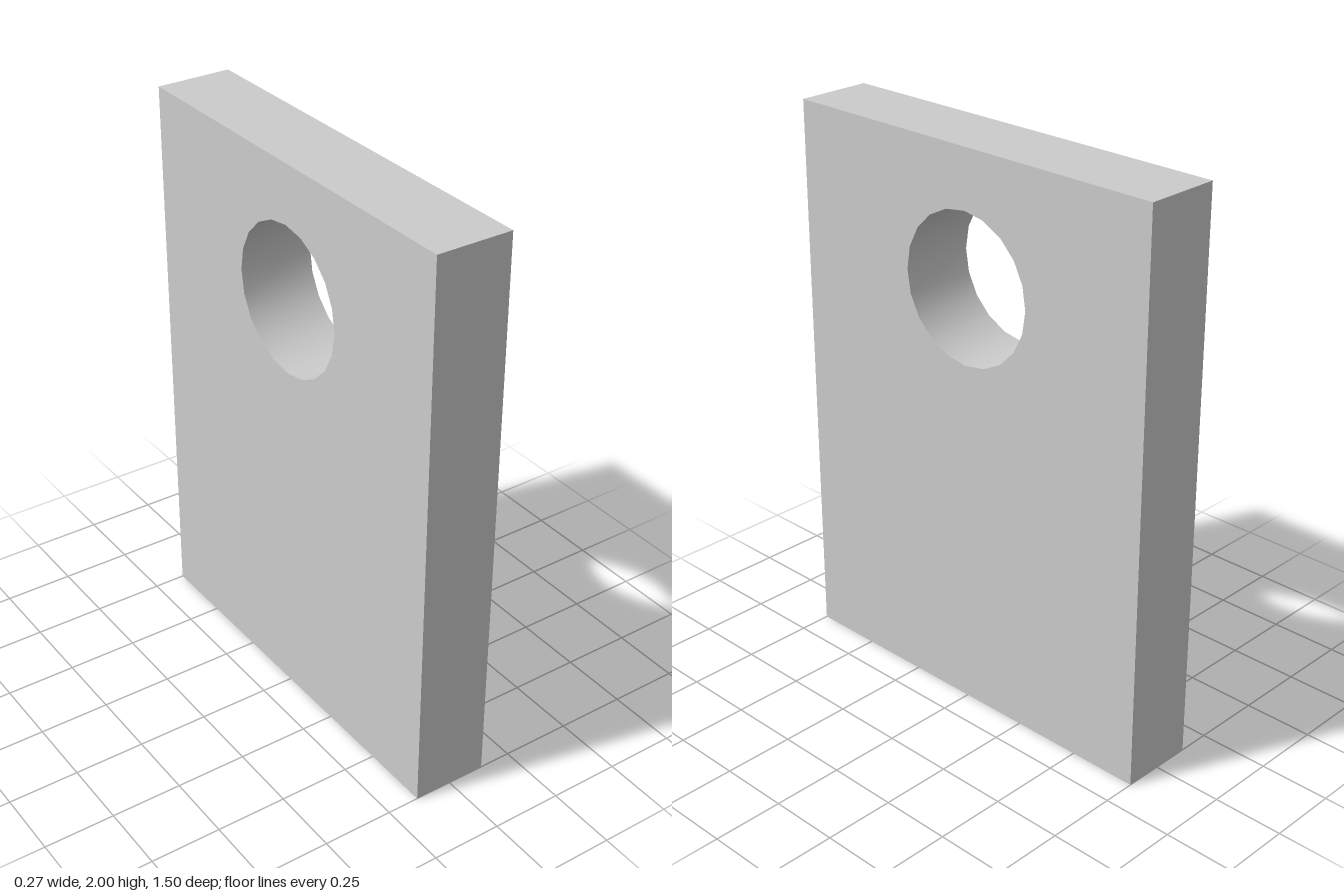
import * as THREE from 'three';
import { toCreasedNormals } from 'three/addons/utils/BufferGeometryUtils.js';

const WIDTH = 1.5, HEIGHT = 2, THICKNESS = 0.27;
const HOLE_Y = 1.53, HOLE_RADIUS = 0.263, HOLE_SIDES = 20;

export function createModel() {
  const group = new THREE.Group();
  group.name = 'plateWithHole';

  // Rectangular outline, standing on the ground
  const outline = new THREE.Shape([
    new THREE.Vector2(-WIDTH / 2, 0),
    new THREE.Vector2(WIDTH / 2, 0),
    new THREE.Vector2(WIDTH / 2, HEIGHT),
    new THREE.Vector2(-WIDTH / 2, HEIGHT),
  ]);

  // Round through-hole near the top
  const hole = new THREE.Path();
  hole.absarc(0, HOLE_Y, HOLE_RADIUS, 0, Math.PI * 2, true);
  outline.holes.push(hole);

  // Extrude, centre the thickness, then turn the broad faces towards x
  const geometry = new THREE.ExtrudeGeometry(outline, {
    depth: THICKNESS,
    bevelEnabled: false,
    curveSegments: HOLE_SIDES / 2, // a full arc gets two points per segment
  });
  geometry.translate(0, 0, -THICKNESS / 2);
  geometry.rotateY(Math.PI / 2);

  // Smooth hole wall, sharp plate edges
  const plate = new THREE.Mesh(
    toCreasedNormals(geometry, Math.PI / 6),
    new THREE.MeshStandardMaterial({ color: 0xcccccc })
  );
  plate.name = 'plate';
  group.add(plate);

  return group;
}
